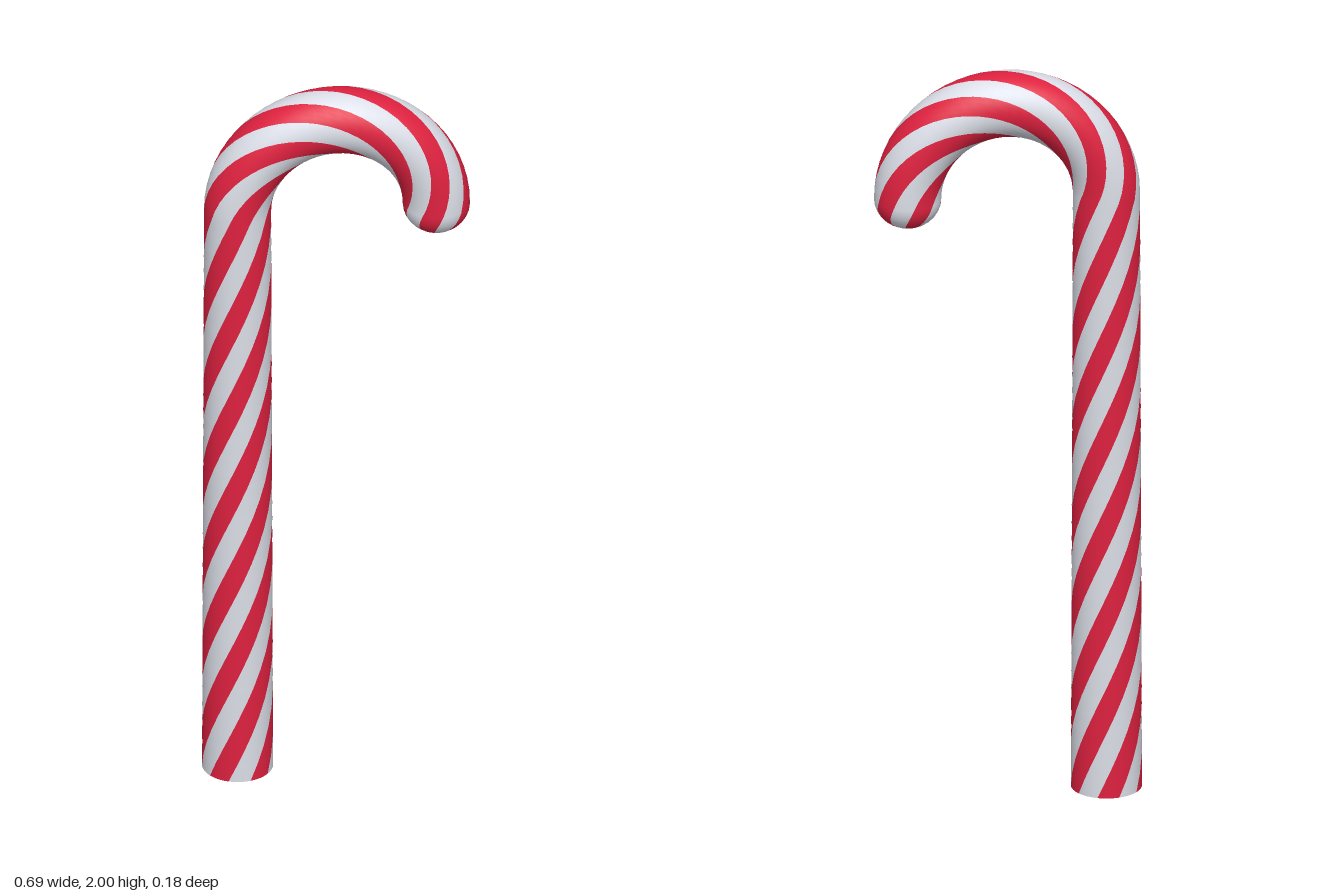
import * as THREE from 'three';

const SHAFT = 1.656;          // straight length
const BEND = 0.257;           // radius of the hook's centre line
const TUBE = 0.087;           // tube radius in the hook
const FOOT = 0.092;           // slightly thicker foot
const TIP = 0.078;            // length of the rounded end
const STRIPES = 5;            // red stripes around the tube
const TWIST = 4.93;           // radians of twist per unit of length
const PHASE = THREE.MathUtils.degToRad(53);
const END = SHAFT + Math.PI * BEND;

// Centre line: straight up, half circle over, then straight down
function frameAt(s) {
  const phi = THREE.MathUtils.clamp((s - SHAFT) / BEND, 0, Math.PI);
  const out = new THREE.Vector3(-Math.cos(phi), Math.sin(phi), 0);
  const along = new THREE.Vector3(Math.sin(phi), Math.cos(phi), 0);
  const centre = out.clone().multiplyScalar(BEND).add(new THREE.Vector3(0, SHAFT, 0));
  if (s < SHAFT) centre.y += s - SHAFT;
  if (s > END) centre.y -= s - END;
  return { centre, out, along };
}

// Rings along the tube: position, radius and tilt of the normal along the path
function bodyRings() {
  const rings = [];
  for (let i = 0; i < 36; i++) {
    const s = SHAFT * i / 36;
    rings.push({ s, r: THREE.MathUtils.lerp(FOOT, TUBE, i / 36), tilt: 0 });
  }
  for (let i = 0; i <= 32; i++) rings.push({ s: SHAFT + (END - SHAFT) * i / 32, r: TUBE, tilt: 0 });
  for (let i = 1; i <= 8; i++) {
    const a = i / 8 * Math.PI / 2;
    rings.push({ s: END + TIP * Math.sin(a), r: TUBE * Math.cos(a), tilt: a });
  }
  return rings;
}

const baseRings = [
  { s: 0, r: 0, tilt: -Math.PI / 2 },
  { s: 0, r: FOOT, tilt: -Math.PI / 2 },
];

// All stripes of one colour, each a twisted strip following the rings
function stripeGeometry(rings, offset) {
  const steps = 4, width = Math.PI / STRIPES;
  const pos = [], nor = [], idx = [];
  for (let k = 0; k < STRIPES; k++) {
    const first = pos.length / 3;
    rings.forEach(({ s, r, tilt }, j) => {
      const { centre, out, along } = frameAt(s);
      for (let i = 0; i <= steps; i++) {
        const t = PHASE + TWIST * s + (2 * k + offset - 0.5 + i / steps) * width;
        const radial = out.clone().multiplyScalar(Math.cos(t));
        radial.z = Math.sin(t);
        const p = centre.clone().addScaledVector(radial, r);
        const n = radial.multiplyScalar(Math.cos(tilt)).addScaledVector(along, Math.sin(tilt));
        pos.push(p.x, p.y, p.z);
        nor.push(n.x, n.y, n.z);
        if (j && i) {
          const d = first + j * (steps + 1) + i, c = d - 1;
          const b = d - steps - 1, a = b - 1;
          idx.push(a, b, d, a, d, c);
        }
      }
    });
  }
  const geo = new THREE.BufferGeometry();
  geo.setAttribute('position', new THREE.Float32BufferAttribute(pos, 3));
  geo.setAttribute('normal', new THREE.Float32BufferAttribute(nor, 3));
  geo.setIndex(idx);
  return geo;
}

export function createModel() {
  const red = new THREE.MeshStandardMaterial({ color: 0xde213f });
  red.name = 'red';
  const white = new THREE.MeshStandardMaterial({ color: 0xdcdfe8 });
  white.name = 'white';

  const cane = new THREE.Group();
  cane.name = 'candyCane';
  const add = (name, rings, offset, material) => {
    const mesh = new THREE.Mesh(stripeGeometry(rings, offset), material);
    mesh.name = name;
    cane.add(mesh);
  };
  const body = bodyRings();
  add('redStripes', body, 0, red);
  add('whiteStripes', body, 1, white);
  // Flat foot, with the stripes running to its centre
  add('redFootWedges', baseRings, 0, red);
  add('whiteFootWedges', baseRings, 1, white);
  return cane;
}
